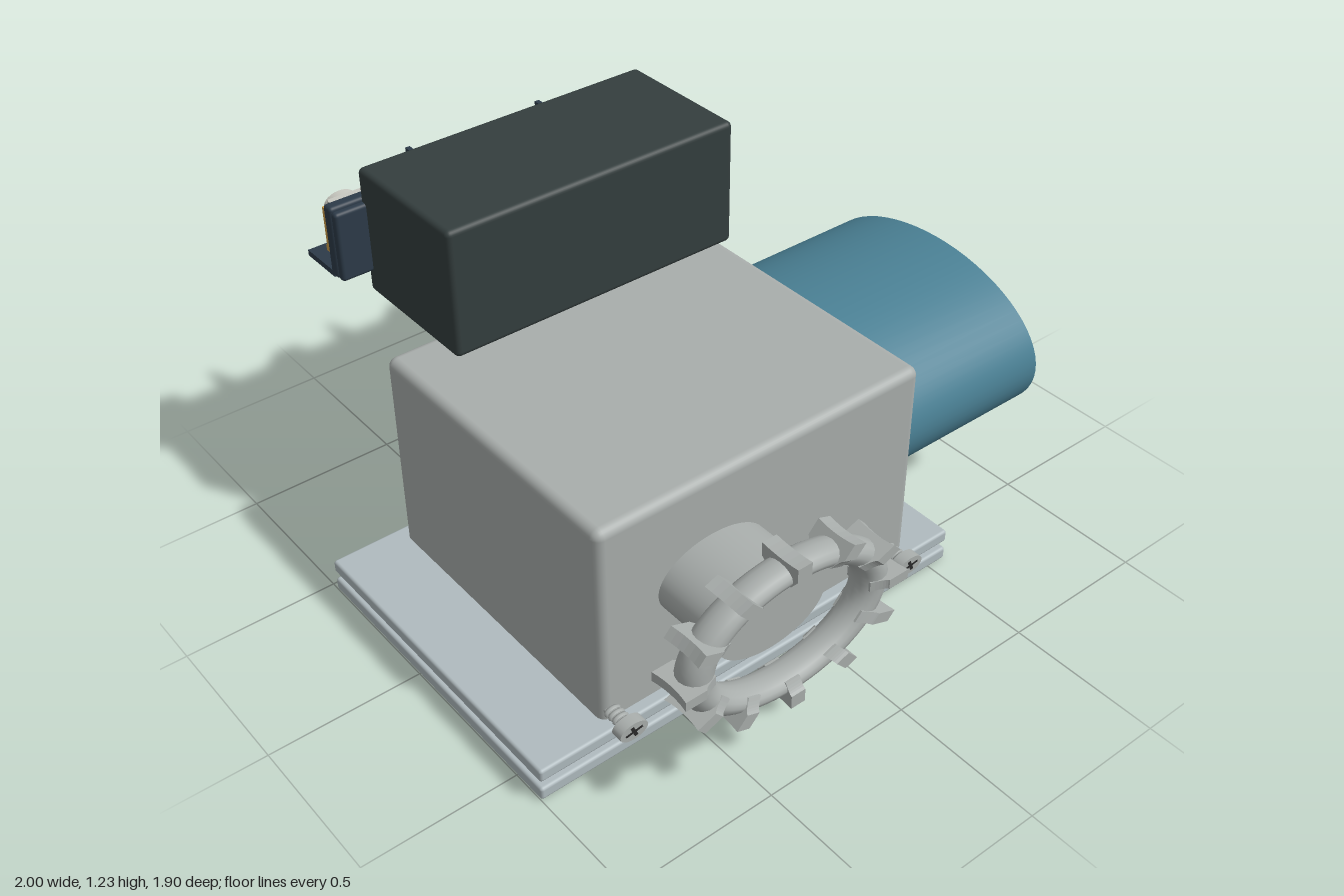
import * as THREE from 'three';
import { RoundedBoxGeometry } from 'three/addons/geometries/RoundedBoxGeometry.js';

const mat = (color) => new THREE.MeshStandardMaterial({ color });
const M = {
  cast: mat(0xa9aeac), plate: mat(0xb0bbbf), blue: mat(0x4a8094), relay: mat(0x343e3e),
  block: mat(0x2d3b49), gold: mat(0xcc9c48), silver: mat(0xc8c8c0), dark: mat(0x2a2a2a),
  green: mat(0x22a050), azure: mat(0x2f6fc0), orange: mat(0xb0582a),
};

function add(parent, name, geometry, material, x = 0, y = 0, z = 0) {
  const mesh = new THREE.Mesh(geometry, material);
  mesh.name = name;
  mesh.position.set(x, y, z);
  parent.add(mesh);
  return mesh;
}

// Box given by its limits on each axis, with optional rounded edges
function box(parent, name, material, [x0, x1], [y0, y1], [z0, z1], r = 0) {
  const s = [x1 - x0, y1 - y0, z1 - z0];
  const g = r ? new RoundedBoxGeometry(...s, 3, r) : new THREE.BoxGeometry(...s);
  return add(parent, name, g, material, (x0 + x1) / 2, (y0 + y1) / 2, (z0 + z1) / 2);
}

// Cylinder along z between two depths
function rod(parent, name, material, r, z0, z1, sides = 24) {
  const g = new THREE.CylinderGeometry(r, r, z1 - z0, sides).rotateX(Math.PI / 2);
  return add(parent, name, g, material, 0, 0, (z0 + z1) / 2);
}

// Oval ring with clamp lugs around it, facing +z
function createRing() {
  const ring = new THREE.Group();
  ring.name = 'handRing';
  add(ring, 'ringTube', new THREE.TorusGeometry(0.312, 0.053, 16, 64), M.cast);
  const s = new THREE.Shape();
  s.moveTo(0.275, -0.045);
  s.quadraticCurveTo(0.32, -0.06, 0.325, -0.07);
  s.lineTo(0.395, -0.07);
  s.quadraticCurveTo(0.38, 0, 0.395, 0.07);
  s.lineTo(0.325, 0.07);
  s.quadraticCurveTo(0.32, 0.06, 0.275, 0.045);
  s.closePath();
  const lug = new THREE.ExtrudeGeometry(s, { depth: 0.05, bevelEnabled: false, curveSegments: 6 });
  lug.translate(0, 0, -0.025).rotateX(Math.PI / 2);
  for (let i = 0; i < 12; i++) {
    add(ring, 'ringLug', lug, M.cast).rotation.z = i * Math.PI / 6;
  }
  ring.scale.y = 0.64;
  return ring;
}

// Threaded mounting screw pointing out along +z
function createMountScrew() {
  const screw = new THREE.Group();
  screw.name = 'mountScrew';
  rod(screw, 'screwShaft', M.cast, 0.02, -0.03, 0.08);
  for (let i = 0; i < 4; i++) {
    add(screw, 'screwThread', new THREE.TorusGeometry(0.02, 0.008, 6, 20), M.cast, 0, 0, 0.01 + i * 0.018);
  }
  rod(screw, 'screwHead', M.cast, 0.048, 0.07, 0.108);
  for (const a of [0.25, 0.25 + Math.PI / 2]) {
    const slot = add(screw, 'screwSlot', new THREE.BoxGeometry(0.06, 0.012, 0.004), M.dark, 0, 0, 0.107);
    slot.rotation.z = a;
  }
  screw.scale.y = 0.62;
  return screw;
}

// Wire clamp with a slotted screw facing -z
function createTerminal() {
  const t = new THREE.Group();
  t.name = 'terminal';
  box(t, 'clampFloor', M.gold, [-0.09, 0.09], [0.9, 0.925], [-0.9, -0.815]);
  for (const s of [-1, 1]) {
    const side = (a, b) => (s > 0 ? [a, b] : [-b, -a]);
    box(t, 'clampWall', M.gold, side(0.07, 0.09), [0.9, 1.06], [-0.895, -0.815]);
    box(t, 'clampLiner', M.silver, side(0.05, 0.068), [0.925, 1.07], [-0.9, -0.805]);
  }
  box(t, 'clampBack', M.silver, [-0.09, 0.09], [0.92, 1.075], [-0.815, -0.8]);
  box(t, 'clampFace', M.gold, [-0.07, 0.07], [0.91, 1.0], [-0.905, -0.89]);
  for (const y of [0.93, 0.955]) {
    box(t, 'clampSlit', M.dark, [-0.055, 0.055], [y, y + 0.009], [-0.908, -0.9]);
  }
  box(t, 'pressurePlate', M.silver, [-0.065, 0.065], [1.0, 1.07], [-0.905, -0.885]);

  const screw = new THREE.Group();
  screw.name = 'terminalScrew';
  rod(screw, 'terminalShaft', M.silver, 0.018, -0.92, -0.8, 16);
  for (let i = 0; i < 5; i++) {
    add(screw, 'terminalThread', new THREE.TorusGeometry(0.018, 0.006, 6, 16), M.dark, 0, 0, -0.875 + i * 0.014);
  }
  rod(screw, 'terminalHead', M.silver, 0.056, -0.951, -0.915);
  add(screw, 'terminalSlot', new THREE.BoxGeometry(0.09, 0.012, 0.004), M.dark, 0, 0, -0.951).rotation.z = 0.4;
  screw.position.y = 1.02;
  screw.scale.y = 0.68;
  t.add(screw);
  return t;
}

// Open terminal strip with three bays
function createTerminalBlock() {
  const b = new THREE.Group();
  b.name = 'terminalBlock';
  const X = [-0.715, 0.537];
  box(b, 'mountStrip', M.block, [X[0] + 0.002, X[1] - 0.002], [0.885, 1.12], [-0.762, -0.732], 0.012);
  box(b, 'backWall', M.block, X, [0.885, 1.13], [-0.8, -0.758], 0.012);
  box(b, 'shelf', M.block, X, [0.885, 0.905], [-0.937, -0.78]);
  for (const x of [-0.335, 0.155]) {
    box(b, 'divider', M.block, [x - 0.008, x + 0.008], [0.9, 1.13], [-0.937, -0.79]);
  }
  const bays = [[-0.58, -0.605, M.orange], [-0.09, -0.09, M.azure], [0.4, 0.43, M.green]];
  for (const [x, pillX, color] of bays) {
    const terminal = createTerminal();
    terminal.position.x = x;
    b.add(terminal);
    const pill = new THREE.CapsuleGeometry(0.025, 0.1, 6, 16).rotateZ(Math.PI / 2);
    add(b, 'wireMarker', pill, color, pillX, 0.886, -0.88);
  }
  return b;
}

export function createModel() {
  const model = new THREE.Group();
  model.name = 'actuator';

  // Twin mounting plates
  for (const y of [0, 0.07]) {
    box(model, 'basePlate', M.plate, [-1, 0.57], [y, y + 0.044], [-0.477, 0.62], 0.01);
  }

  // Main housing
  box(model, 'housing', M.cast, [-0.76, 0.415], [0.075, 0.797], [-0.44, 0.582], 0.03);

  // Oval motor on the left side
  const motor = new THREE.CylinderGeometry(1, 1, 0.6, 64).rotateZ(Math.PI / 2);
  add(model, 'motor', motor, M.blue, 0.7, 0.495, 0.075).scale.set(1, 0.275, 0.47);

  // Oval shaft with hand ring on the front
  const shaft = rod(model, 'outputShaft', M.cast, 0.193, 0.56, 0.83, 48);
  shaft.position.x = -0.365;
  shaft.position.y = 0.472;
  shaft.scale.y = 0.63;
  const ring = createRing();
  ring.position.set(-0.365, 0.475, 0.877);
  model.add(ring);

  // Mounting screws at the foot of the housing
  for (const x of [-0.73, 0.335]) {
    const screw = createMountScrew();
    screw.position.set(x, 0.148, 0.58);
    model.add(screw);
  }

  // Control box on top, overhanging the back
  box(model, 'controlBox', M.relay, [-0.608, 0.432], [0.804, 1.23], [-0.766, -0.283], 0.018);
  model.add(createTerminalBlock());
  return model;
}
